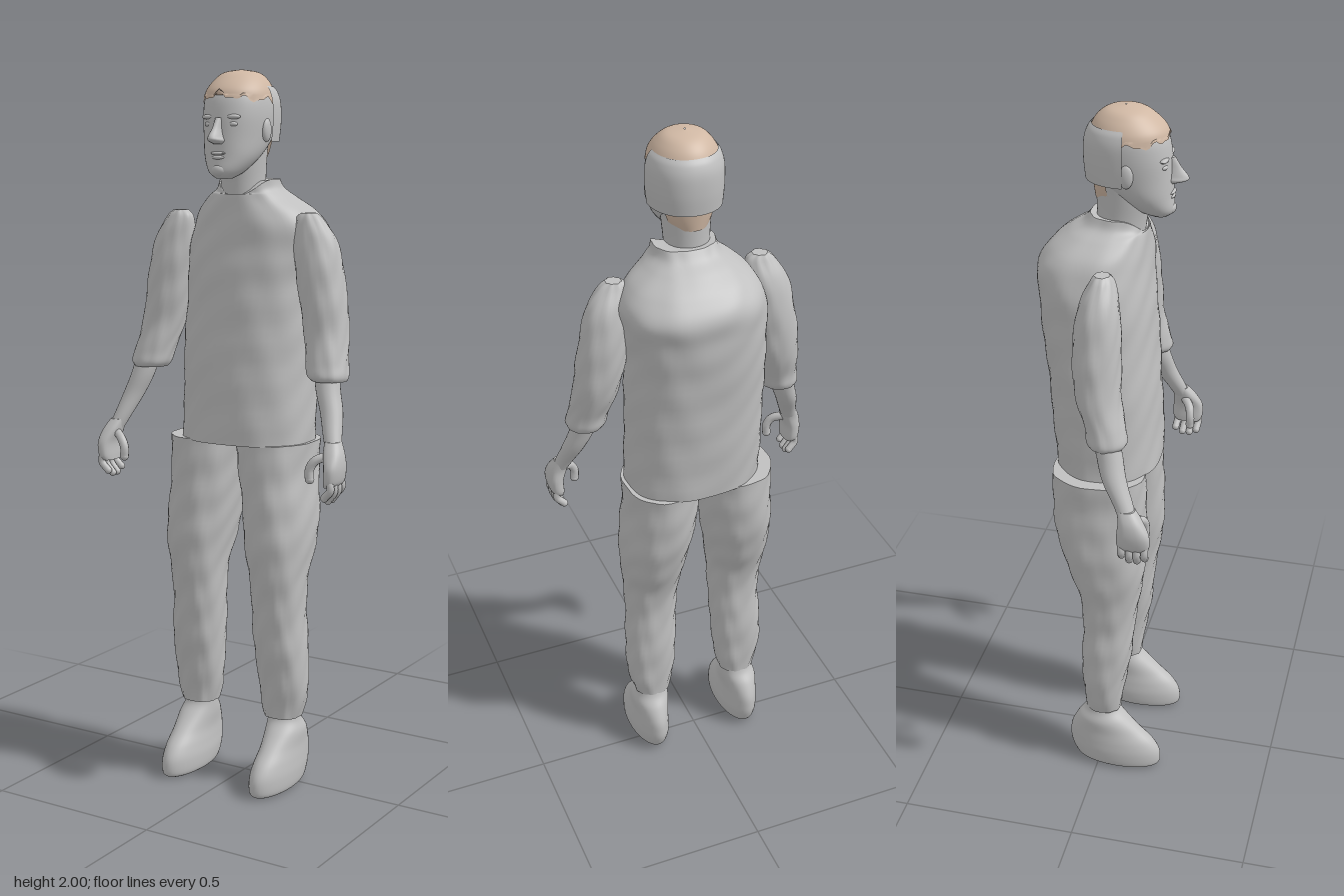
import * as THREE from 'three';

const grey = new THREE.MeshStandardMaterial({ color: 0xc0c0c0, side: THREE.DoubleSide });
grey.name = 'plain grey';
const tan = new THREE.MeshStandardMaterial({ color: 0xd0b8a4, side: THREE.DoubleSide });
tan.name = 'hair tan';

// Catmull-Rom through every column of a table of rows
function sample(rows, t) {
  const n = rows.length - 1, f = Math.min(t * n, n - 1e-6), i = Math.floor(f), u = f - i;
  const r = k => rows[Math.max(0, Math.min(n, k))];
  return rows[0].map((_, c) => {
    const a = r(i - 1)[c], b = r(i)[c], d = r(i + 1)[c], e = r(i + 2)[c];
    return b + 0.5 * u * (d - a + u * (2 * a - 5 * b + 4 * d - e + u * (3 * (b - d) + e - a)));
  });
}

// Surface through horizontal sections [y, xMin, xMax, zMin, zMax], from bottom to top
function loft(name, rows, { mat = grey, power = 2, from = 0, to = 2 * Math.PI, caps = true,
  sides = 40, steps = 6, warp = null } = {}) {
  const closed = to - from > 6.28, pos = [], idx = [], rings = (rows.length - 1) * steps;
  const cols = closed ? sides : sides + 1;
  const soft = c => Math.sign(c) * Math.abs(c) ** (2 / power);
  for (let i = 0; i <= rings; i++) {
    const [y, x0, x1, z0, z1] = sample(rows, i / rings);
    for (let j = 0; j < cols; j++) {
      const a = from + (to - from) * j / sides;
      const p = new THREE.Vector3((x0 + x1) / 2 + soft(Math.cos(a)) * (x1 - x0) / 2, y,
        (z0 + z1) / 2 + soft(Math.sin(a)) * (z1 - z0) / 2);
      if (warp) warp(p, a, i / rings);
      pos.push(p.x, p.y, p.z);
    }
  }
  for (let i = 0; i < rings; i++) for (let j = 0; j < sides; j++) {
    const a = i * cols + j, b = i * cols + (j + 1) % cols;
    idx.push(a, a + cols, b, b, a + cols, b + cols);
  }
  // flat end caps with their own vertices
  if (closed && caps) for (const [ring, top] of [[0, false], [rings, true]]) {
    const base = pos.length / 3, c = [0, 0, 0];
    for (let j = 0; j < cols; j++) for (let k = 0; k < 3; k++) {
      const v = pos[(ring * cols + j) * 3 + k];
      pos.push(v);
      c[k] += v / cols;
    }
    pos.push(...c);
    for (let j = 0; j < cols; j++) {
      const a = base + j, b = base + (j + 1) % cols;
      idx.push(base + cols, top ? b : a, top ? a : b);
    }
  }
  const g = new THREE.BufferGeometry();
  g.setAttribute('position', new THREE.Float32BufferAttribute(pos, 3));
  g.setIndex(idx);
  g.computeVertexNormals();
  const m = new THREE.Mesh(g, mat);
  m.name = name;
  return m;
}

const mirror = (rows, side, shift = 0) => side > 0 ? rows
  : rows.map(([y, a, b, c, d]) => [y, shift - b, shift - a, c, d]);

function ball(name, x, y, z, rx, ry, rz) {
  const m = new THREE.Mesh(new THREE.SphereGeometry(1, 20, 14), grey);
  m.name = name;
  m.position.set(x, y, z);
  m.scale.set(rx, ry, rz);
  return m;
}

function finger(name, points, radius) {
  const g = new THREE.Group();
  g.name = name;
  const v = points.map(p => new THREE.Vector3(...p));
  g.add(new THREE.Mesh(new THREE.TubeGeometry(new THREE.CatmullRomCurve3(v), 10, radius, 10), grey));
  g.add(ball(name + 'Tip', ...points[points.length - 1], radius, radius, radius));
  return g;
}

// shallow cloth wrinkles
const wrinkle = size => (p, a) => {
  const w = size * Math.sin(p.y * 41 + 2 * Math.sin(3 * a)) * Math.sin(5 * a + p.y * 17);
  p.x += w * Math.cos(a);
  p.z += w * Math.sin(a);
};

function createTorso() {
  const ripple = wrinkle(0.0025);
  return loft('shirt', [
    [0.99, -0.18, 0.2, -0.15, 0.14], [1.2, -0.183, 0.2, -0.165, 0.13],
    [1.4, -0.18, 0.2, -0.185, 0.117], [1.5, -0.178, 0.21, -0.195, 0.108],
    [1.57, -0.168, 0.217, -0.2, 0.102], [1.62, -0.145, 0.188, -0.168, 0.098],
    [1.66, -0.105, 0.14, -0.118, 0.093], [1.685, -0.072, 0.115, -0.08, 0.088],
    [1.71, -0.06, 0.108, -0.06, 0.085],
  ], { power: 2.35, sides: 64, steps: 8, warp: (p, a, t) => {
    ripple(p, a);
    // the collar dips at the throat
    if (t > 0.8) p.y -= 0.045 * (t - 0.8) / 0.2 * Math.max(0, Math.sin(a)) ** 3;
  } });
}

function createHead() {
  const g = new THREE.Group();
  g.name = 'head';
  g.add(loft('neck', [[1.62, -0.05, 0.07, -0.045, 0.08], [1.7, -0.05, 0.07, -0.043, 0.09],
    [1.76, -0.054, 0.074, -0.044, 0.1], [1.82, -0.06, 0.08, -0.045, 0.1]]));
  g.add(loft('face', [
    [1.712, -0.008, 0.032, 0.1, 0.145], [1.73, -0.034, 0.056, 0.06, 0.161],
    [1.77, -0.06, 0.083, 0.005, 0.158], [1.82, -0.073, 0.097, -0.05, 0.156],
    [1.88, -0.08, 0.104, -0.065, 0.152], [1.93, -0.077, 0.099, -0.06, 0.14],
    [1.97, -0.058, 0.08, -0.04, 0.11], [1.99, -0.034, 0.055, -0.012, 0.08],
    [1.997, 0.008, 0.012, 0.03, 0.035]], { power: 2.15 }));
  g.add(loft('nose', [[1.803, 0, 0.024, 0.14, 0.166], [1.812, -0.008, 0.032, 0.125, 0.194],
    [1.823, -0.004, 0.028, 0.125, 0.196], [1.845, 0.001, 0.023, 0.125, 0.178],
    [1.872, 0.002, 0.022, 0.125, 0.161]], { sides: 20 }));
  for (const s of [-1, 1]) {
    const x = 0.012 + s * 0.036;
    g.add(ball('eye', x, 1.855, 0.138, 0.015, 0.008, 0.011));
    g.add(ball('brow', x, 1.874, 0.139, 0.024, 0.007, 0.012));
    g.add(ball('ear', 0.012 + s * 0.088, 1.84, 0.052, 0.011, 0.032, 0.019));
  }
  g.add(ball('upperLip', 0.012, 1.779, 0.154, 0.023, 0.005, 0.01));
  g.add(ball('lowerLip', 0.012, 1.768, 0.153, 0.02, 0.006, 0.01));
  g.add(ball('chin', 0.012, 1.735, 0.145, 0.024, 0.018, 0.021));

  // tan crown with a ragged hairline
  g.add(loft('crownHair', [[1.918, -0.084, 0.106, -0.063, 0.148], [1.945, -0.077, 0.099, -0.058, 0.14],
    [1.972, -0.06, 0.082, -0.042, 0.114], [1.992, -0.036, 0.057, -0.014, 0.082],
    [2, 0.008, 0.012, 0.03, 0.035]], { mat: tan, caps: false, sides: 64, warp: (p, a, t) => {
    if (t < 0.1) p.y += 0.006 * Math.sin(a * 9) + 0.004 * Math.sin(a * 17)
      + 0.012 * Math.max(0, Math.sin(a)) ** 6;
  } }));
  // grey shell behind the ears
  g.add(loft('backHair', [[1.81, -0.086, 0.11, -0.072, 0.16], [1.86, -0.09, 0.115, -0.077, 0.165],
    [1.91, -0.09, 0.114, -0.076, 0.164], [1.94, -0.083, 0.106, -0.067, 0.155],
    [1.955, -0.073, 0.095, -0.055, 0.14]],
  { from: Math.PI, to: 2 * Math.PI, power: 2.2 }));
  g.add(loft('napeHair', [[1.755, -0.045, 0.065, -0.047, 0.1], [1.785, -0.058, 0.08, -0.051, 0.1],
    [1.825, -0.067, 0.09, -0.056, 0.1]],
  { mat: tan, from: 1.12 * Math.PI, to: 1.88 * Math.PI }));
  return g;
}

function createArm(s) {
  const g = new THREE.Group();
  g.name = s > 0 ? 'leftArm' : 'rightArm';
  g.add(loft('sleeve', mirror([
    [1.18, 0.25, 0.347, 0.005, 0.1], [1.195, 0.238, 0.352, -0.002, 0.108],
    [1.23, 0.23, 0.346, -0.008, 0.1], [1.3, 0.213, 0.335, -0.035, 0.085],
    [1.4, 0.19, 0.325, -0.046, 0.08], [1.5, 0.176, 0.306, -0.045, 0.075],
    [1.56, 0.174, 0.286, -0.032, 0.066], [1.605, 0.178, 0.255, -0.01, 0.052],
    [1.622, 0.195, 0.235, 0, 0.042]], s, 0.017), { warp: wrinkle(0.0025) }));
  g.add(loft('forearm', mirror([
    [1.0, 0.335, 0.378, 0.105, 0.153], [1.04, 0.317, 0.367, 0.085, 0.138],
    [1.1, 0.292, 0.353, 0.05, 0.115], [1.16, 0.268, 0.335, 0.03, 0.1],
    [1.24, 0.25, 0.32, 0.01, 0.08]], s), { sides: 24 }));
  g.add(loft('palm', mirror([
    [0.915, 0.345, 0.375, 0.11, 0.18], [0.93, 0.345, 0.385, 0.1, 0.188],
    [0.965, 0.345, 0.39, 0.1, 0.187], [1.0, 0.334, 0.385, 0.102, 0.168],
    [1.03, 0.328, 0.37, 0.096, 0.145]], s), { sides: 24, power: 2.5 }));
  for (let i = 0; i < 4; i++) {
    const z = 0.113 + i * 0.021, drop = [0.012, 0, 0, 0.01][i];
    g.add(finger('finger', [[s * 0.367, 0.935, z], [s * 0.372, 0.905 + drop / 2, z],
      [s * 0.352, 0.876 + drop, z - 0.003]], 0.0105));
  }
  g.add(finger('thumb', [[s * 0.35, 0.995, 0.135], [s * 0.315, 0.98, 0.158],
    [s * 0.301, 0.955, 0.163], [s * 0.302, 0.93, 0.163]], 0.0125));
  return g;
}

function createLeg(s) {
  const g = new THREE.Group();
  g.name = s > 0 ? 'leftLeg' : 'rightLeg';
  const shift = -0.008;
  g.add(loft('trouserLeg', mirror([
    [0.2, 0.083, 0.188, -0.042, 0.062], [0.28, 0.068, 0.207, -0.048, 0.072],
    [0.4, 0.058, 0.21, -0.053, 0.09], [0.5, 0.056, 0.202, -0.052, 0.1],
    [0.6, 0.05, 0.207, -0.06, 0.112], [0.7, 0.036, 0.217, -0.098, 0.125],
    [0.8, 0.023, 0.216, -0.128, 0.126], [0.9, 0.008, 0.209, -0.138, 0.122],
    [0.993, -0.003, 0.21, -0.142, 0.12]], s, shift),
  { power: 2.25, warp: wrinkle(0.003) }));
  g.add(loft('shoe', mirror([
    [0, 0.105, 0.182, -0.04, 0.165], [0.012, 0.091, 0.196, -0.068, 0.183],
    [0.05, 0.087, 0.2, -0.087, 0.182], [0.085, 0.09, 0.198, -0.091, 0.162],
    [0.12, 0.093, 0.195, -0.087, 0.125], [0.16, 0.09, 0.195, -0.068, 0.083],
    [0.19, 0.09, 0.185, -0.045, 0.055], [0.22, 0.092, 0.18, -0.035, 0.048]], s, shift)));
  return g;
}

export function createModel() {
  const model = new THREE.Group();
  model.name = 'standingFigure';
  model.add(createTorso(), createHead());
  for (const s of [-1, 1]) model.add(createArm(s), createLeg(s));
  return model;
}
